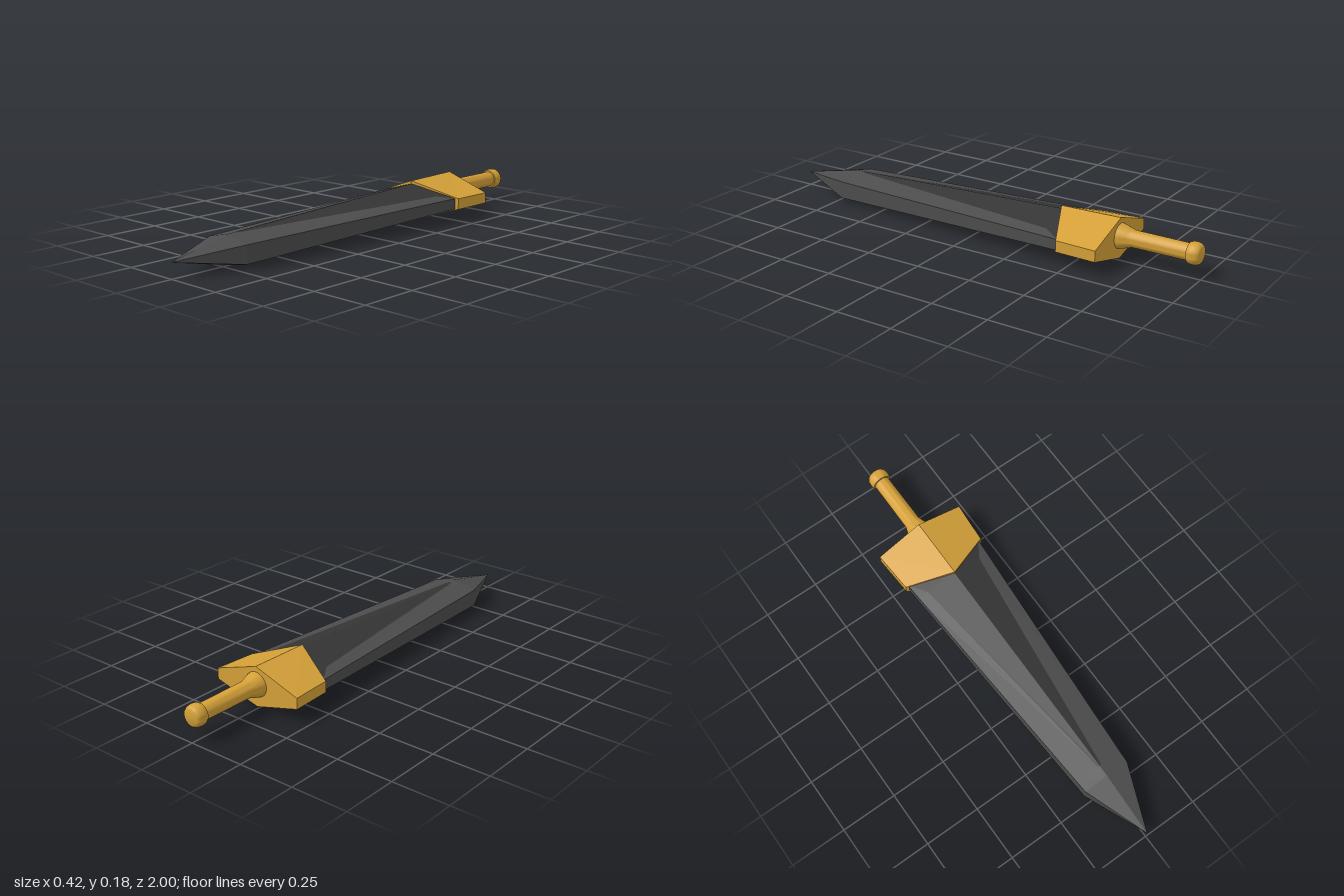
import * as THREE from 'three';
import { toCreasedNormals } from 'three/addons/utils/BufferGeometryUtils.js';

const steel = new THREE.MeshStandardMaterial({ color: 0x4c4c4c, flatShading: true });
const darkSteel = new THREE.MeshStandardMaterial({ color: 0x353535, flatShading: true });
const gold = new THREE.MeshStandardMaterial({ color: 0xd4a038, flatShading: true });
const smoothGold = new THREE.MeshStandardMaterial({ color: 0xd4a038 });

// Adds a convex polygon as a triangle fan, reversed for mirrored copies
function addFace(list, corners, flip) {
  const c = flip ? [...corners].reverse() : corners;
  for (let i = 1; i < c.length - 1; i++) list.push(...c[0], ...c[i], ...c[i + 1]);
}

function facetedMesh(name, list, material) {
  const geometry = new THREE.BufferGeometry();
  geometry.setAttribute('position', new THREE.Float32BufferAttribute(list, 3));
  geometry.computeVertexNormals();
  const mesh = new THREE.Mesh(geometry, material);
  mesh.name = name;
  return mesh;
}

// Point on the blade: s = side (+1/-1), v = top/bottom (+1/-1), u = 0 at ridge, 1 at edge
function bladePoint(z, s, v, u) {
  const t = (0.72 - z) / 1.18;
  const ridge = v > 0 ? 0.128 + 0.045 * t : 0.003 + 0.014 * t;
  const edge = v > 0 ? 0.103 + 0.012 * t : 0.025 + 0.043 * t;
  return [s * u * (0.108 + 0.079 * t), ridge + (edge - ridge) * u, z];
}

function createBlade() {
  const blade = [], fuller = [];
  // [z, fuller width as a share of the blade's half width]
  const stations = [[-0.5, 1], [-0.46, 1], [-0.38, 0.75], [0.67, 0.08], [0.72, 0.08]];
  const tip = [0, 0.068, 1];
  for (const s of [1, -1]) {
    for (const v of [1, -1]) {
      const P = (z, u) => bladePoint(z, s, v, u);
      const flip = s * v < 0;
      for (let i = 0; i < stations.length - 1; i++) {
        const [z0, u0] = stations[i], [z1, u1] = stations[i + 1];
        addFace(i < 3 ? fuller : blade, [P(z0, 0), P(z1, 0), P(z1, u1), P(z0, u0)], flip);
        if (i > 0) addFace(blade, [P(z0, u0), P(z1, u1), P(z1, 1), P(z0, 1)], flip);
      }
      addFace(blade, [P(0.72, 0), tip, P(0.72, 1)], flip);
    }
    // Blunt side band and its tip facet
    const E = (z, v) => bladePoint(z, s, v, 1);
    addFace(blade, [E(-0.5, 1), E(0.72, 1), E(0.72, -1), E(-0.5, -1)], s < 0);
    addFace(blade, [E(0.72, 1), tip, E(0.72, -1)], s < 0);
  }
  const group = new THREE.Group();
  group.name = 'blade';
  group.add(facetedMesh('bladeBody', blade, steel), facetedMesh('fuller', fuller, darkSteel));
  return group;
}

// Hexagonal guard with a pointed front
function createGuard() {
  const list = [];
  for (const s of [1, -1]) {
    const front = [[0, 0.183, -0.37], [s * 0.2, 0.115, -0.46], [s * 0.2, 0.066, -0.46], [0, 0.016, -0.37]];
    const back = [[0, 0.188, -0.645], [s * 0.212, 0.117, -0.645], [s * 0.212, 0.069, -0.645], [0, 0.012, -0.645]];
    for (let i = 0; i < 3; i++) addFace(list, [back[i], front[i], front[i + 1], back[i + 1]], s < 0);
    addFace(list, front, s > 0);
    addFace(list, back, s < 0);
  }
  return facetedMesh('guard', list, gold);
}

// Turned part along the handle axis; profile pairs are [radius, distance behind centre]
function turned(name, profile) {
  const geometry = new THREE.LatheGeometry(profile.map(([r, d]) => new THREE.Vector2(r, d)), 32);
  geometry.rotateX(-Math.PI / 2);
  const mesh = new THREE.Mesh(toCreasedNormals(geometry, 0.7), smoothGold);
  mesh.name = name;
  mesh.position.y = 0.11;
  return mesh;
}

export function createModel() {
  const sword = new THREE.Group();
  sword.name = 'sword';
  sword.add(
    createBlade(),
    createGuard(),
    turned('grip', [[0.055, 0.64], [0.049, 0.665], [0.041, 0.688], [0.036, 0.705], [0.035, 0.955]]),
    turned('pommel', [[0.03, 0.945], [0.041, 0.947], [0.046, 0.957], [0.047, 0.97],
      [0.045, 0.985], [0.039, 0.996], [0.032, 1], [0, 1]])
  );
  return sword;
}
